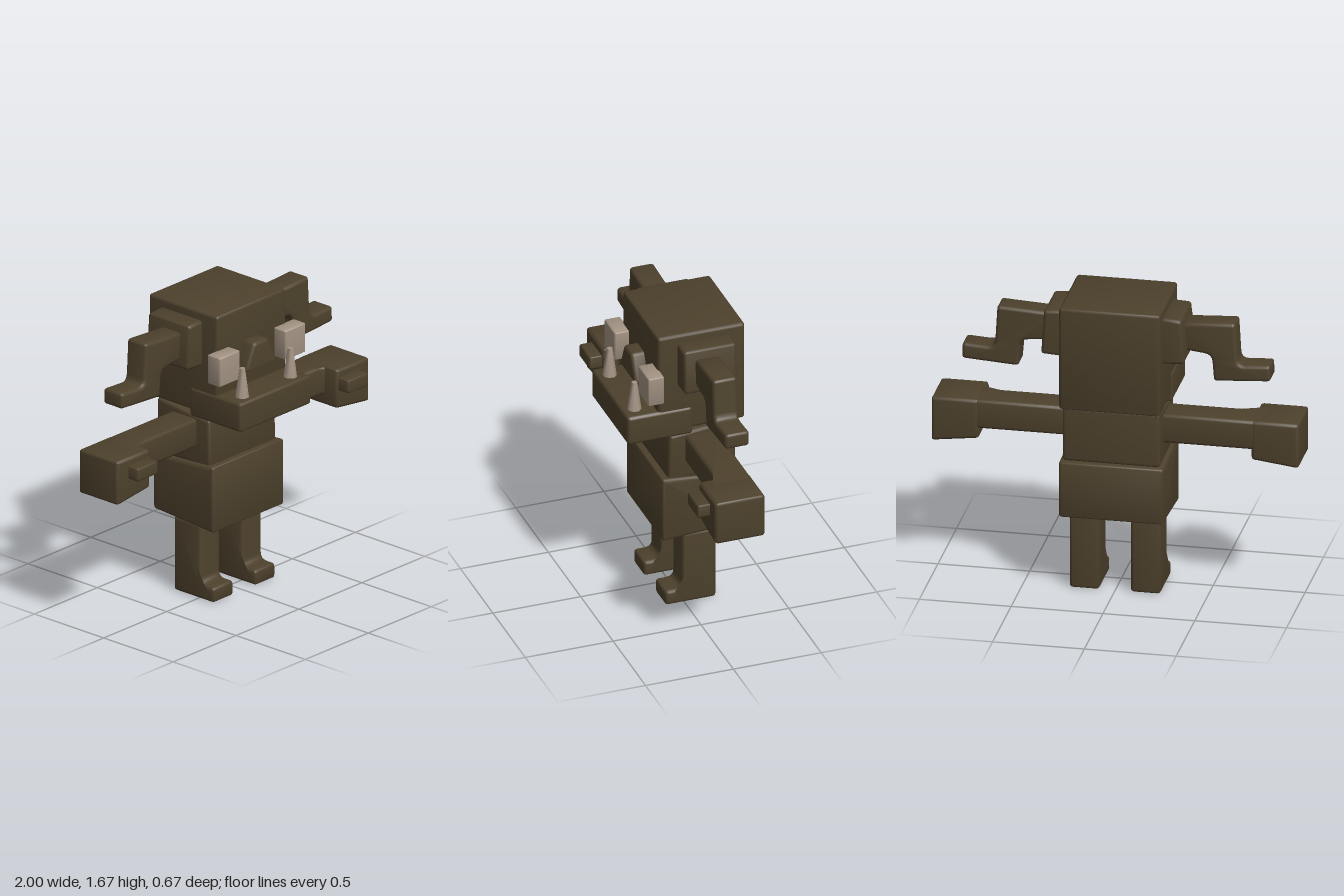
import * as THREE from 'three';
import { toCreasedNormals } from 'three/addons/utils/BufferGeometryUtils.js';

const fur = new THREE.MeshStandardMaterial({ color: 0x4d412c });
fur.name = 'dark brown';
const bone = new THREE.MeshStandardMaterial({ color: 0xa39383 });
bone.name = 'pale bone';

// Closed shape with rounded corners; a point may carry its own radius.
function roundedShape(points, radius) {
  const shape = new THREE.Shape();
  points.forEach(([x, y, own], i) => {
    const r = own ?? radius;
    const p = new THREE.Vector2(x, y);
    const toward = ([qx, qy]) => {
      const d = new THREE.Vector2(qx, qy).sub(p);
      return d.setLength(Math.min(r, d.length() * 0.45)).add(p);
    };
    const a = toward(points[(i + points.length - 1) % points.length]);
    const b = toward(points[(i + 1) % points.length]);
    if (i === 0) shape.moveTo(a.x, a.y);
    else shape.lineTo(a.x, a.y);
    shape.quadraticCurveTo(x, y, b.x, b.y);
  });
  shape.closePath();
  return shape;
}

// Soft-edged prism: an outline in the plane across `axis`, running from lo to hi.
// Outline pairs are (x, y) for axis z, (z, y) for axis x and (x, z) for axis y.
function prism(name, material, axis, points, lo, hi, r = 0.018) {
  const outline = axis === 'y' ? points.map(([x, z, own]) => [x, -z, own]) : points;
  const raw = new THREE.ExtrudeGeometry(roundedShape(outline, r), {
    depth: hi - lo - 2 * r, bevelEnabled: true, bevelThickness: r,
    bevelSize: r, bevelOffset: -r, bevelSegments: 3, curveSegments: 4,
  });
  raw.translate(0, 0, (axis === 'x' ? -hi : lo) + r);
  if (axis === 'x') raw.rotateY(-Math.PI / 2);
  if (axis === 'y') raw.rotateX(-Math.PI / 2);
  const mesh = new THREE.Mesh(toCreasedNormals(raw, 0.7), material);
  mesh.name = name;
  return mesh;
}

const rect = (a0, a1, b0, b1) => [[a0, b0], [a1, b0], [a1, b1], [a0, b1]];

export function createModel() {
  const model = new THREE.Group();
  model.name = 'creature';

  // Head and trunk
  model.add(
    prism('head', fur, 'x', rect(-0.335, 0.16, 1.09, 1.675), -0.275, 0.275),
    prism('jaw', fur, 'x', rect(-0.035, 0.335, 1.055, 1.222), -0.282, 0.282),
    prism('chest', fur, 'x', [[0.1, 0.78], [0.09, 1.05], [-0.285, 1.087], [-0.285, 0.775]], -0.265, 0.265),
    prism('belly', fur, 'x', [[0.138, 0.42], [0.138, 0.8], [-0.295, 0.768], [-0.295, 0.45]], -0.285, 0.285),
  );

  // Snout, narrowing toward its front face
  const snout = prism('nose', fur, 'z',
    [[-0.122, 1.328], [0.122, 1.328], [0.055, 1.477], [-0.055, 1.477]], 0.12, 0.235);
  model.add(snout);

  for (const side of [1, -1]) {
    const label = side > 0 ? 'left' : 'right';
    const flip = (pts) => pts.map(([x, y, r]) => [x * side, y, r]);
    const span = (a, b) => (side > 0 ? [a, b] : [-b, -a]);

    // Eye block
    model.add(prism(label + 'Eye', bone, 'z', flip(rect(0.18, 0.342, 1.31, 1.477)), 0.15, 0.24, 0.008));

    // Upright tusk
    const tuskGeo = new THREE.CylinderGeometry(0.016, 0.04, 0.175, 8);
    tuskGeo.rotateY(Math.PI / 8);
    const tusk = new THREE.Mesh(toCreasedNormals(tuskGeo, 0.9), bone);
    tusk.name = label + 'Tusk';
    tusk.position.set(0.191 * side, 1.298, 0.265);
    model.add(tusk);

    // Ear base and hanging ear with its outward bend
    model.add(
      prism(label + 'EarBase', fur, 'z',
        flip([[0.25, 1.36], [0.39, 1.368], [0.374, 1.618], [0.25, 1.625]]), -0.25, 0.05),
      prism(label + 'Ear', fur, 'z', flip([
        [0.34, 1.565], [0.648, 1.582], [0.662, 1.343, 0.04], [0.838, 1.353],
        [0.84, 1.265], [0.532, 1.245], [0.52, 1.395, 0.04], [0.34, 1.415],
      ]), -0.152, -0.014),
    );

    // Arm, hand and thumb
    model.add(
      prism(label + 'Arm', fur, 'y', flip([
        [0.25, 0.002], [0.745, 0.002, 0.04], [0.745, 0.06], [0.82, 0.06], [0.82, -0.18], [0.25, -0.18],
      ]), 0.877, 1.04),
      prism(label + 'Hand', fur, 'z',
        flip([[0.742, 0.82], [1, 0.788], [1, 1.04], [0.742, 1.04]]), -0.182, 0.102),
      prism(label + 'Thumb', fur, 'z', flip(rect(0.755, 0.917, 0.92, 0.995)), 0.06, 0.172, 0.012),
    );

    // Leg with forward foot
    model.add(prism(label + 'Leg', fur, 'x', [
      [-0.18, 0], [0.108, 0], [0.108, 0.085], [0.01, 0.085, 0.04], [0.01, 0.425], [-0.18, 0.425],
    ], ...span(0.085, 0.248)));
  }
  return model;
}
